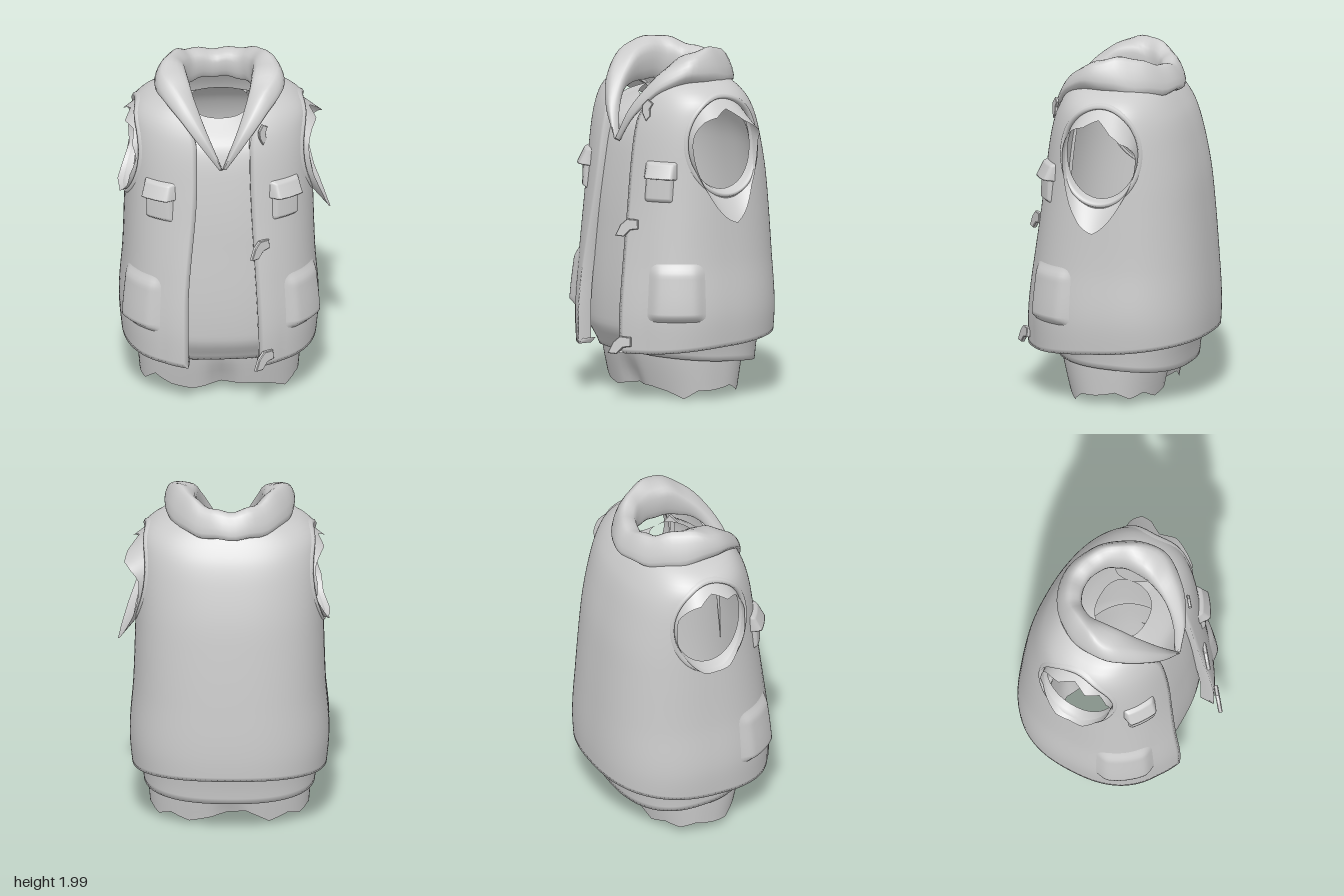
import * as THREE from 'three';
import { mergeVertices } from 'three/addons/utils/BufferGeometryUtils.js';

const CX = -0.04, N = 2.45;                                 // body axis, squareness of the rings
const HOLE = { y: 1.46, z: -0.03, ry: 0.28, rz: 0.235 };    // armhole ellipse
const { lerp, smoothstep, clamp } = THREE.MathUtils;
const mat = new THREE.MeshStandardMaterial({ color: 0xcccccc, side: THREE.DoubleSide });
const V = (x, y, z) => new THREE.Vector3(x, y, z);

// Rings: height, half width, front z, back z
const VEST = [
  [0.25, 0.545, 0.48, -0.54], [0.5, 0.565, 0.48, -0.55], [0.8, 0.545, 0.455, -0.535], [1.1, 0.535, 0.42, -0.51],
  [1.3, 0.53, 0.395, -0.485], [1.5, 0.525, 0.365, -0.44], [1.62, 0.515, 0.335, -0.40], [1.7, 0.495, 0.30, -0.355],
  [1.76, 0.44, 0.265, -0.31], [1.8, 0.36, 0.23, -0.27], [1.83, 0.25, 0.18, -0.23]];
const SHIRT = [
  [0.17, 0.48, 0.3, -0.42], [0.26, 0.49, 0.33, -0.43], [0.4, 0.51, 0.4, -0.45], [1, 0.495, 0.385, -0.44], [1.4, 0.485, 0.34, -0.4],
  [1.58, 0.46, 0.29, -0.33], [1.68, 0.32, 0.22, -0.23], [1.74, 0.165, 0.16, -0.135]];
const TROUSERS = [[0, 0.445, 0.24, -0.29], [0.25, 0.465, 0.3, -0.335], [0.5, 0.47, 0.33, -0.36]];

// Smoothly interpolated ring at a height
function ringAt(rows, y) {
  let i = 0;
  while (i < rows.length - 2 && y > rows[i + 1][0]) i++;
  const p0 = rows[Math.max(i - 1, 0)], p1 = rows[i], p2 = rows[i + 1], p3 = rows[Math.min(i + 2, rows.length - 1)];
  const h = p2[0] - p1[0], t = clamp((y - p1[0]) / h, 0, 1), s = 1 - t;
  const [rx, f, b] = [1, 2, 3].map((k) => {
    const m1 = (p2[k] - p0[k]) / (p2[0] - p0[0]) * h, m2 = (p3[k] - p1[k]) / (p3[0] - p1[0]) * h;
    return (1 + 2 * t) * s * s * p1[k] + t * s * s * m1 + t * t * (3 - 2 * t) * p2[k] - t * t * s * m2;
  });
  return { rx, zc: (f + b) / 2, rz: (f - b) / 2 };
}
// Point at an angle (0 = front, growing towards +x) on the ring at a height
function onBody(rows, a, y, k = 1) {
  const r = ringAt(rows, y), p = (s) => Math.sign(s) * Math.abs(s) ** (2 / N);
  return V(CX + k * r.rx * p(Math.sin(a)), y, r.zc + k * r.rz * p(Math.cos(a)));
}
// Point on the flank at a height and depth
function onSide(rows, y, z, side) {
  const r = ringAt(rows, y), q = Math.min(1, Math.abs((z - r.zc) / r.rz));
  return V(CX + side * r.rx * (1 - q ** N) ** (1 / N), y, z);
}
// Point on the armhole ellipse scaled by k
const onHole = (a, k, side) => onSide(VEST, HOLE.y + HOLE.ry * k * Math.sin(a), HOLE.z + HOLE.rz * k * Math.cos(a), side);

// Surface over a grid; with cutRows, both armholes are cut and their edges fitted to the ellipse
function grid(nu, nv, f, cutRows) {
  const pos = [], inside = [], idx = [];
  for (let j = 0; j <= nv; j++) for (let i = 0; i <= nu; i++) {
    let p = f(i / nu, j / nv);
    const dy = (p.y - HOLE.y) / HOLE.ry, dz = (p.z - HOLE.z) / HOLE.rz, d = Math.hypot(dy, dz);
    const cut = !!cutRows && d < 1 && Math.abs(p.x - CX) > 0.18;
    if (cut) p = onSide(cutRows, HOLE.y + HOLE.ry * dy / d, HOLE.z + HOLE.rz * dz / d, Math.sign(p.x - CX));
    inside.push(cut);
    pos.push(p.x, p.y, p.z);
  }
  const tri = (a, b, c) => { if (!(inside[a] && inside[b] && inside[c])) idx.push(a, b, c); };
  for (let j = 0; j < nv; j++) for (let i = 0; i < nu; i++) {
    const a = j * (nu + 1) + i, c = a + nu + 1;
    tri(a, a + 1, c);
    tri(a + 1, c + 1, c);
  }
  let g = new THREE.BufferGeometry();
  g.setAttribute('position', new THREE.Float32BufferAttribute(pos, 3));
  g.setIndex(idx);
  g = mergeVertices(g, 1e-4);
  g.computeVertexNormals();
  return g;
}
// Jagged edge: values joined by straight lines around a loop
const jag = (arr, u) => {
  const s = u * arr.length, i = Math.floor(s);
  return lerp(arr[i % arr.length], arr[(i + 1) % arr.length], s - i);
};

export function createModel() {
  const model = new THREE.Group();
  const add = (name, geo) => {
    const m = new THREE.Mesh(geo, mat);
    m.name = name;
    model.add(m);
    return m;
  };

  // Vest shell, open at the front, with turned-in hem and front edges
  const edge = (y, left) => {
    const x = left ? lerp(0.2, 0.155, smoothstep(y, 0.3, 1.5)) : lerp(0.2, 0.145, smoothstep(y, 0.6, 1.4));
    const w = x + 0.09 * smoothstep(y, 1.58, 1.82);
    return Math.asin(Math.min(1, w / ringAt(VEST, y).rx) ** (N / 2));
  };
  add('vest', grid(120, 64, (u, v) => {
    const uu = clamp((u - 1 / 120) / (118 / 120), 0, 1), vv = Math.max(0, (v - 1 / 64) / (63 / 64));
    const hem = 0.32 - 0.045 * Math.cos(uu * Math.PI * 2);
    const y = lerp(hem, 1.83, vv);
    const a = lerp(edge(y, true), Math.PI * 2 - edge(y, false), uu);
    const p = onBody(VEST, a, y, v === 0 ? 0.95 : 1);
    if (v === 0) p.y += 0.03;
    if (u === 0 || u === 1) p.z -= 0.06;
    else p.z += 0.025 * Math.max(0, 1 - Math.min(uu, 1 - uu) * 20) * (1 - smoothstep(y, 0.3, 1.2));
    return p;
  }, VEST));

  // Shirt underneath, with a lower hem and a neckline that dips at the front
  add('innerShirt', grid(96, 50, (u, v) => {
    const a = u * Math.PI * 2;
    const p = onBody(SHIRT, a, lerp(0.215 + 0.035 * Math.cos(a), 1.74, Math.max(0, (v - 0.02) / 0.98)), v === 0 ? 0.94 : 1);
    if (v === 0) p.y += 0.02;
    p.y -= 0.05 * Math.max(0, Math.cos(a)) * smoothstep(v, 0.85, 1);
    return p;
  }, SHIRT));

  // Trouser top with a ragged lower edge and a centre crease
  const rag = [0.06, 0.06, 0.04, 0, 0.05, 0.05, 0.07, 0.03, 0.06, 0.02, 0.05, 0.09, 0.02, 0.06, 0.04, 0.07, 0.05, 0.04, 0.1, 0.05, 0.03];
  add('trousers', grid(84, 10, (u, v) => {
    const p = onBody(TROUSERS, u * Math.PI * 2, lerp(jag(rag, u), 0.5, v));
    p.z -= Math.sign(p.z) * 0.05 * Math.exp(-(((p.x - CX) / 0.07) ** 2)) * (1 - smoothstep(p.y, 0.05, 0.28));
    return p;
  }));

  // Folded collar running down into the lapels: four tracks, from the V to the middle of the back
  const tracks = [
    [[0.02, 1.46, 0.365], [0.14, 1.62, 0.34], [0.26, 1.76, 0.255], [0.36, 1.84, 0.1], [0.34, 1.81, -0.12], [0.2, 1.78, -0.3], [0, 1.78, -0.37]],
    [[0.005, 1.47, 0.38], [0.11, 1.66, 0.345], [0.24, 1.86, 0.215], [0.33, 1.95, 0.06], [0.27, 1.99, -0.1], [0.17, 1.94, -0.25], [0, 1.91, -0.31]],
    [[0, 1.46, 0.365], [0.075, 1.64, 0.32], [0.15, 1.82, 0.19], [0.19, 1.93, 0.05], [0.19, 1.92, -0.1], [0.13, 1.9, -0.19], [0, 1.88, -0.23]],
    [[0, 1.45, 0.345], [0.07, 1.6, 0.3], [0.17, 1.72, 0.19], [0.22, 1.75, 0.03], [0.21, 1.75, -0.1], [0.14, 1.76, -0.2], [0, 1.76, -0.25]],
  ].map((t) => new THREE.CatmullRomCurve3([
    ...t.map(([x, y, z]) => V(CX + x, y, z)),
    ...t.slice(0, -1).reverse().map(([x, y, z]) => V(CX - x, y, z))]));
  add('collar', grid(64, 20, (u, v) => {
    const section = new THREE.CatmullRomCurve3(tracks.map((t) => t.getPoint(u)), true);
    const p = section.getPoint(v === 1 ? 0 : v);
    p.y -= 0.012 * Math.sin(u * 40) ** 2 * Math.sin(u * Math.PI) ** 2;
    return p;
  }));

  // Armhole rims turned inward and torn sleeve stubs
  const torn = {
    1: [0.06, 0.06, 0.07, 0.09, 0.06, 0.12, 0.14, 0.11, 0.06, 0.05, 0.06, 0.1, 0.13, 0.12, 0.1, 0.07],
    '-1': [0.04, 0.06, 0.04, 0.08, 0.05, 0.08, 0.06, 0.04, 0.05, 0.03, 0.05, 0.07, 0.06, 0.07, 0.05, 0.06],
  };
  const rim = [[1.06, -0.004], [1.03, 0.01], [0.98, 0.008], [0.94, -0.012], [0.9, -0.05]];   // scale, offset outward
  for (const side of [1, -1]) {
    const name = side > 0 ? 'left' : 'right';
    add(name + 'ArmholeRim', grid(64, rim.length - 1, (u, v) => {
      const [k, out] = rim[Math.round(v * (rim.length - 1))];
      const p = onHole(u * Math.PI * 2, k, side);
      p.x += side * out;
      return p;
    }));
    add(name + 'SleeveStub', grid(64, 4, (u, v) => {
      const a = u * Math.PI * 2, s = Math.sin(a), out = jag(torn[side], u) * v;
      const p = onHole(a, 0.93, side);
      p.x += side * (out - 0.03);
      p.y -= (s < 0 ? -1.3 * s * (side > 0 ? 1 : 0.3) : 0.9 * s) * out;
      return p;
    }));
  }

  // Pockets: softly raised panels that follow the vest
  const panel = (name, side, a0, a1, y0, y1, h, soft, sag) => add(name, grid(24, 20, (u, v) => {
    const a = side > 0 ? lerp(a0, a1, u) : -lerp(a1, a0, u);
    const rise = smoothstep(Math.min(u, 1 - u), 0, soft) * smoothstep(1 - v, 0, soft) * smoothstep(v, 0, 0.1);
    const p = onBody(VEST, a, lerp(y0, y1, v)), d = h * rise * (1 + sag * (0.5 - v)) - 0.006;
    return p.add(V(Math.sin(a) * d, 0, Math.cos(a) * d));
  }));
  for (const side of [1, -1]) {
    const name = side > 0 ? 'left' : 'right';
    panel(name + 'ChestPocket', side, 0.46, 0.88, 1.14, 1.33, 0.028, 0.15, -0.4);
    panel(name + 'ChestPocketFlap', side, 0.43, 0.92, 1.27, 1.38, 0.045, 0.18, 1);
    panel(name + 'HipPocket', side, 0.56, 1.36, 0.46, 0.82, 0.035, 0.25, 0.3);
  }

  // Bent toggle straps along the left front edge
  const strap = new THREE.Shape([[-0.06, -0.06], [-0.035, 0.0], [0.0, 0.035], [0.06, 0.035], [0.065, -0.01], [0.02, -0.02], [-0.015, -0.06]]
    .map(([x, y]) => new THREE.Vector2(x, y)));
  const strapGeo = new THREE.ExtrudeGeometry(strap, { depth: 0.016, bevelEnabled: true, bevelSize: 0.004, bevelThickness: 0.004, bevelSegments: 1 });
  for (const [x, y, z, turn, size] of [[0.18, 1.66, 0.315, 0.9, 0.75], [0.16, 1.0, 0.43, 0, 1], [0.18, 0.335, 0.495, 0, 1]]) {
    const t = add('toggle', strapGeo);
    t.position.set(x, y, z);
    t.rotation.set(-0.1, 0.65, turn);
    t.scale.setScalar(size);
  }
  return model;
}
